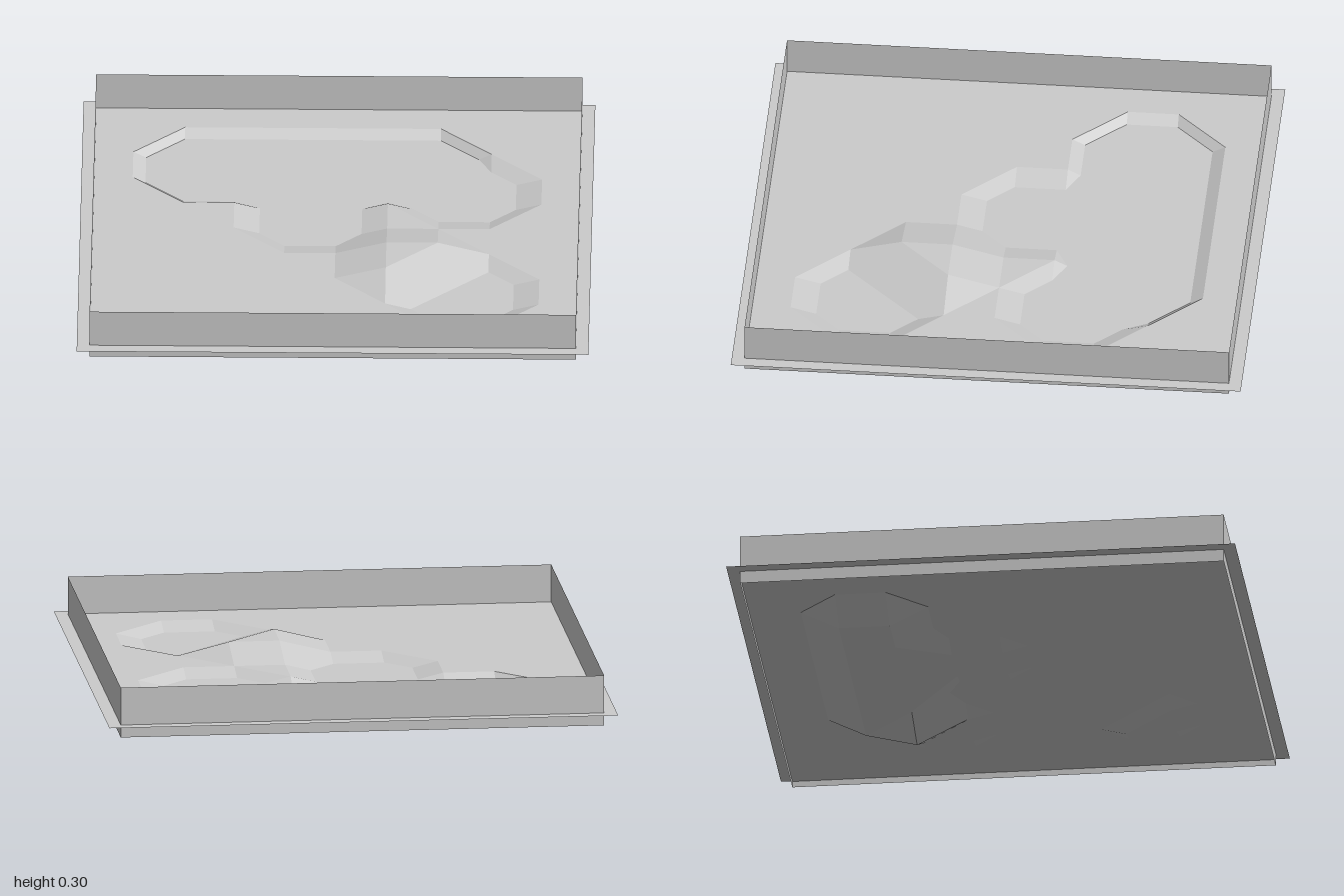
import * as THREE from 'three';

// Ground heights in steps of 0.05, one row per 0.2 of z (back to front)
const ROWS = [
  '33333333333',
  '33333333333',
  '33111111333',
  '33111110233',
  '33332232233',
  '33332233333',
  '33333344333',
  '33333343233',
  '33333332233',
  '33333333333',
  '33333333333',
];
const CELL = 0.2, STEP = 0.05;

function terrainGeometry() {
  const n = ROWS.length;
  const height = (i, j) => Number(ROWS[j][i]);
  const positions = [], index = [];
  for (let j = 0; j < n; j++)
    for (let i = 0; i < n; i++)
      positions.push(i * CELL - 1, height(i, j) * STEP, j * CELL - 1);

  for (let j = 0; j < n - 1; j++)
    for (let i = 0; i < n - 1; i++) {
      const a = j * n + i, b = a + 1, c = a + n, d = c + 1;
      // split each cell along its more level diagonal
      const ad = Math.abs(height(i, j) - height(i + 1, j + 1));
      const bc = Math.abs(height(i + 1, j) - height(i, j + 1));
      if (ad < bc) index.push(a, c, d, a, d, b);
      else index.push(a, c, b, b, c, d);
    }
  const geometry = new THREE.BufferGeometry();
  geometry.setAttribute('position', new THREE.Float32BufferAttribute(positions, 3));
  geometry.setIndex(index);
  geometry.computeVertexNormals();
  return geometry;
}

export function createModel() {
  const group = new THREE.Group();
  const material = new THREE.MeshStandardMaterial({
    color: 0xcccccc, flatShading: true, side: THREE.DoubleSide,
  });
  const add = (name, geometry) => {
    const mesh = new THREE.Mesh(geometry, material);
    mesh.name = name;
    group.add(mesh);
    return mesh;
  };

  // Ground with pond beds and a small hill
  add('terrain', terrainGeometry());

  // Level water sheet that shows inside the hollows
  const water = add('water', new THREE.PlaneGeometry(1.9, 1.9));
  water.rotation.x = -Math.PI / 2;
  water.position.y = 0.125;

  // Thin square boundary wall, open above and below
  const radius = 0.95 * Math.SQRT2;
  const wall = add('boundaryWall', new THREE.CylinderGeometry(radius, radius, 0.2, 4, 1, true));
  wall.rotation.y = Math.PI / 4;
  wall.position.y = 0.2;

  return group;
}
